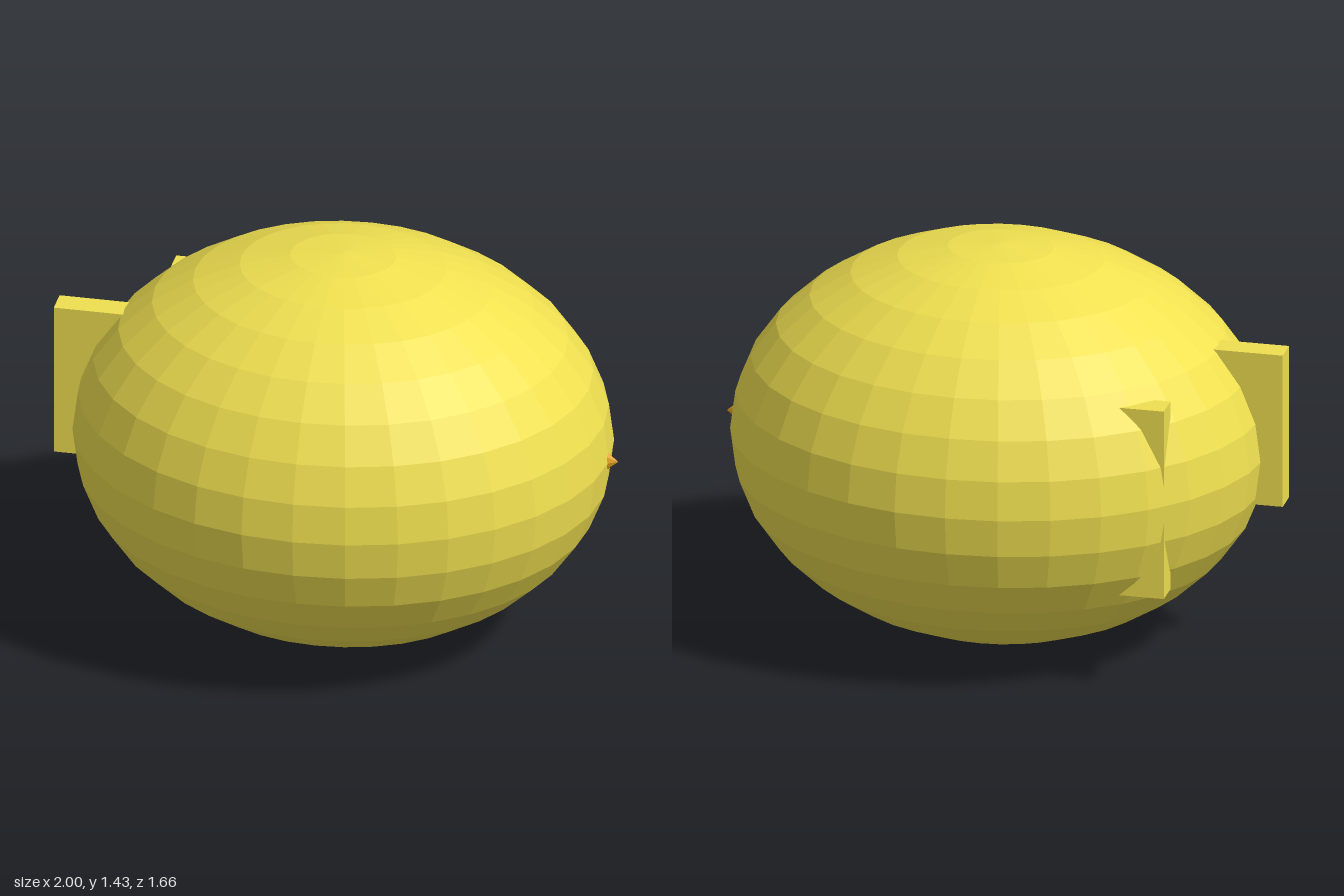
import * as THREE from 'three';

const yellow = new THREE.MeshStandardMaterial({ color: 0xf0e050, flatShading: true });
const orange = new THREE.MeshStandardMaterial({ color: 0xe0a020, flatShading: true });

// Box given by its minimum and maximum corners
function block(name, min, max) {
  const size = max.map((v, i) => v - min[i]);
  const mesh = new THREE.Mesh(new THREE.BoxGeometry(...size), yellow);
  mesh.position.set(...max.map((v, i) => (v + min[i]) / 2));
  mesh.name = name;
  return mesh;
}

export function createModel() {
  const model = new THREE.Group();
  model.name = 'roundCreature';

  // Faceted ellipsoid body
  const body = new THREE.Mesh(new THREE.SphereGeometry(1, 32, 16), yellow);
  body.scale.set(0.947, 0.715, 0.83);
  body.position.set(0.021, 0.715, 0);
  body.name = 'body';
  model.add(body);

  // Upright tail slab, and a side slab whose corners break through the body
  model.add(block('tail', [-1, 0.555, -0.05], [-0.7, 1.12, 0.045]));
  model.add(block('sideFin', [-0.69, 0.365, -0.53], [-0.48, 1.065, -0.43]));

  // Small pointed beak on the end opposite the tail
  const beakShape = new THREE.ConeGeometry(1, 0.06, 8).rotateZ(-Math.PI / 2);
  const beak = new THREE.Mesh(beakShape.scale(1, 0.052, 0.036), orange);
  beak.position.set(0.97, 0.715, 0);
  beak.name = 'beak';
  model.add(beak);

  return model;
}
